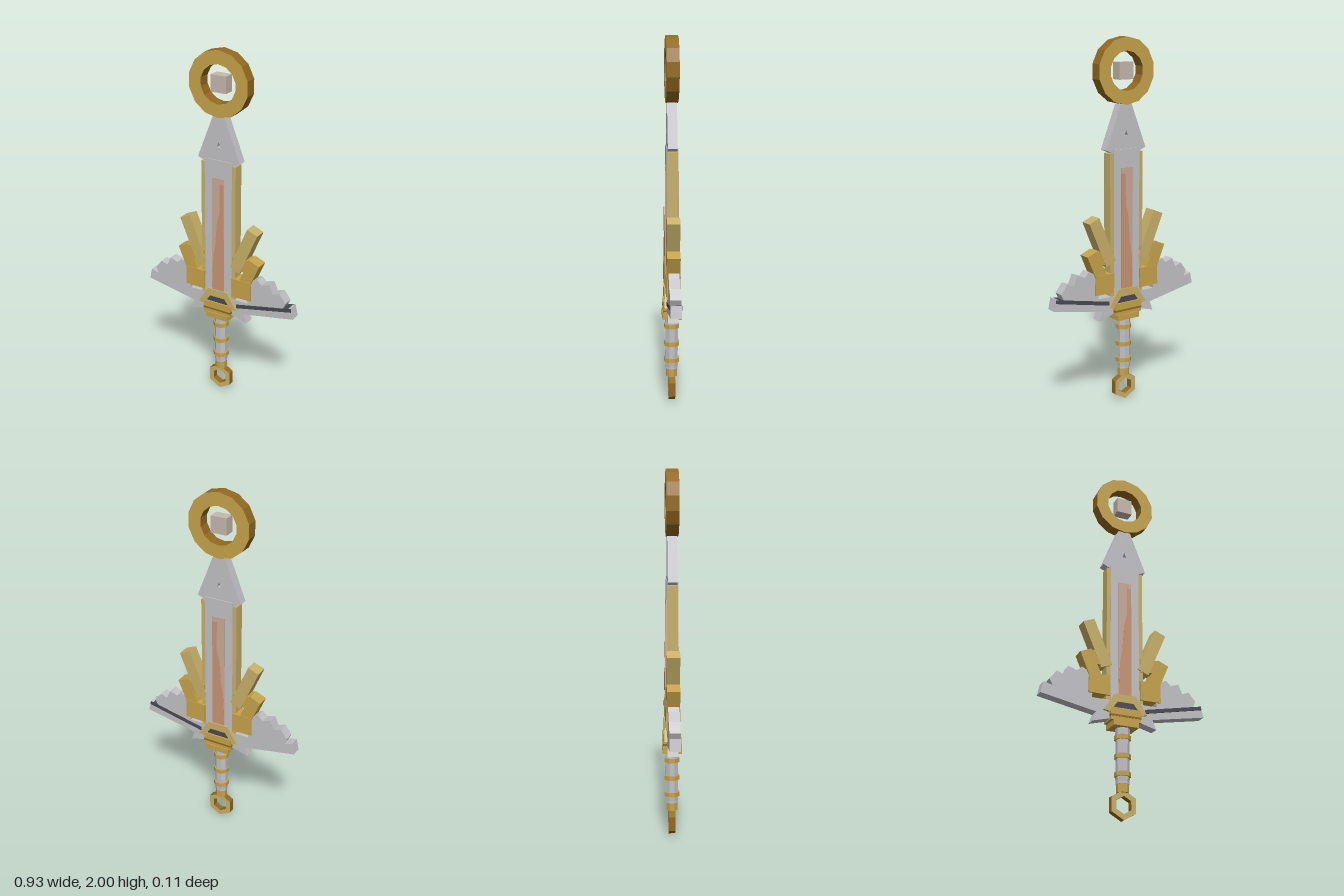
import * as THREE from 'three';

const mat = (name, color) => {
  const m = new THREE.MeshStandardMaterial({ color });
  m.name = name;
  m.flatShading = true;
  return m;
};

export function createModel() {
  const steel = mat('steel', 0xc2c2c6);
  const gold = mat('gold', 0xc6a34a);
  const paleGold = mat('pale gold', 0xc8b068);
  const bronze = mat('dark gold', 0x93691f);
  const dark = mat('dark steel', 0x484a52);
  const ember = mat('ember orange', 0xca9472);
  const emberPale = mat('pale ember', 0xc9aa98);
  const gem = mat('gem', 0xc6b8ad);

  const root = new THREE.Group();
  root.name = 'sword';

  const add = (name, geo, material, x = 0, y = 0, z = 0, rot = 0) => {
    const mesh = new THREE.Mesh(geo, material);
    mesh.name = name;
    mesh.position.set(x, y, z);
    mesh.rotation.z = rot;
    root.add(mesh);
    return mesh;
  };
  // Box given by its x and y limits and half depth
  const slab = (name, x0, x1, y0, y1, d, material) =>
    add(name, new THREE.BoxGeometry(x1 - x0, y1 - y0, 2 * d), material, (x0 + x1) / 2, (y0 + y1) / 2);
  const toShape = pts => new THREE.Shape(pts.map(p => new THREE.Vector2(...p)));
  // Flat outline extruded evenly about z = 0
  const plate = (shape, d) =>
    new THREE.ExtrudeGeometry(shape, { depth: 2 * d, bevelEnabled: false }).translate(0, 0, -d);
  const polygon = (n, r, turn) => Array.from({ length: n }, (_, i) => {
    const a = turn + i * 2 * Math.PI / n;
    return [r * Math.cos(a), r * Math.sin(a)];
  });
  const ringShape = (n, outer, inner, turn) => {
    const s = toShape(polygon(n, outer, turn));
    s.holes.push(toShape(polygon(n, inner, turn)));
    return s;
  };

  // Crowning ring and floating gem
  add('crownRing', plate(ringShape(14, 0.176, 0.104, Math.PI / 14), 0.033), [gold, bronze], 0, 1.827);
  slab('crownGem', -0.045, 0.045, 1.783, 1.873, 0.03, gem);

  // Blade with arrow-shaped tip
  const tip = toShape([[-0.035, 1.655], [-0.127, 1.42], [-0.08, 1.4], [0.08, 1.4], [0.127, 1.42], [0.035, 1.655]]);
  tip.holes.push(toShape([[-0.011, 1.49], [0.011, 1.49], [0, 1.52]]));
  add('bladeTip', plate(tip, 0.026), steel);
  slab('blade', -0.083, 0.083, 0.58, 1.42, 0.031, steel);

  // Glowing inlay, on both faces
  slab('inlay', -0.037, 0.037, 0.6, 1.32, 0.035, emberPale);
  const flame = toShape([[-0.036, 0.62], [0.036, 0.62], [0.036, 1.29], [0.012, 1.29],
    [0.01, 1.12], [-0.006, 1.06], [-0.016, 0.92], [-0.03, 0.84], [-0.036, 0.7]]);
  add('inlayFlame', plate(flame, 0.037), ember);

  // Steel wing outline, drawn for +x
  const wing = [[0.08, 0.52], [0.18, 0.493], [0.16, 0.545], [0.464, 0.603], [0.45, 0.665], [0.402, 0.652],
    [0.418, 0.685], [0.38, 0.735], [0.34, 0.72], [0.317, 0.772], [0.27, 0.755], [0.243, 0.782],
    [0.2, 0.76], [0.18, 0.67], [0.185, 0.62], [0.11, 0.62], [0.08, 0.63]];
  // Gold feather: centre, length and lean
  const feathers = [[0.158, 0.93, 0.27], [0.186, 0.785, 0.2]];

  for (const s of [-1, 1]) {
    const side = s > 0 ? 'left' : 'right';
    const pts = wing.map(([x, y]) => [s * x, y]);
    add(side + 'Wing', plate(toShape(pts), 0.029), steel);
    const rail = add(side + 'BladeRail', new THREE.BoxGeometry(0.025, 0.78, 0.058), gold, s * 0.093, 1.01);
    rail.material = paleGold;
    feathers.forEach(([x, y, len], i) =>
      add(side + 'Feather' + (i + 1), new THREE.BoxGeometry(0.067, len, 0.07),
        i ? gold : paleGold, s * x, y, 0, -s * 0.4));
    add(side + 'FeatherBridge', new THREE.BoxGeometry(0.1, 0.075, 0.068), gold, s * 0.14, 0.845, 0, s * 0.06);
    add(side + 'FeatherBase', new THREE.BoxGeometry(0.118, 0.11, 0.076), gold, s * 0.146, 0.698, 0, s * 0.02);
  }

  // Dark band along one wing
  const band = toShape([[0.115, 0.572], [0.452, 0.644], [0.45, 0.664], [0.115, 0.594]]);
  add('wingBand', plate(band, 0.032), dark);

  // Guard: arch, dark inset and stepped collar
  const arch = toShape([[-0.122, 0.56], [-0.06, 0.655], [0.06, 0.655], [0.122, 0.56],
    [0.09, 0.553], [0.045, 0.612], [-0.045, 0.612], [-0.09, 0.553]]);
  add('guardArch', plate(arch, 0.043), paleGold);
  slab('guardInset', -0.066, 0.066, 0.57, 0.612, 0.039, dark);
  slab('guardCollar', -0.085, 0.085, 0.51, 0.578, 0.048, gold);
  slab('guardCollarSeam', -0.087, 0.087, 0.53, 0.54, 0.05, bronze);
  slab('guardFoot', -0.07, 0.07, 0.48, 0.512, 0.053, gold);

  // Eight-sided grip with gold bands
  const oct = (r0, r1, h) => new THREE.CylinderGeometry(r0, r1, h, 8).rotateY(Math.PI / 8);
  add('grip', oct(0.038, 0.035, 0.3), steel, 0, 0.335);
  for (const y of [0.43, 0.33, 0.235]) add('gripBand', oct(0.044, 0.044, 0.024), gold, 0, y);
  add('gripEnd', oct(0.0375, 0.034, 0.032), steel, 0, 0.202);
  add('pommelNeck', oct(0.033, 0.033, 0.045), gold, 0, 0.163);

  // Hexagonal pommel ring
  add('pommelRing', plate(ringShape(6, 0.077, 0.046, Math.PI / 2), 0.018), [paleGold, bronze], 0, 0.077);

  return root;
}
